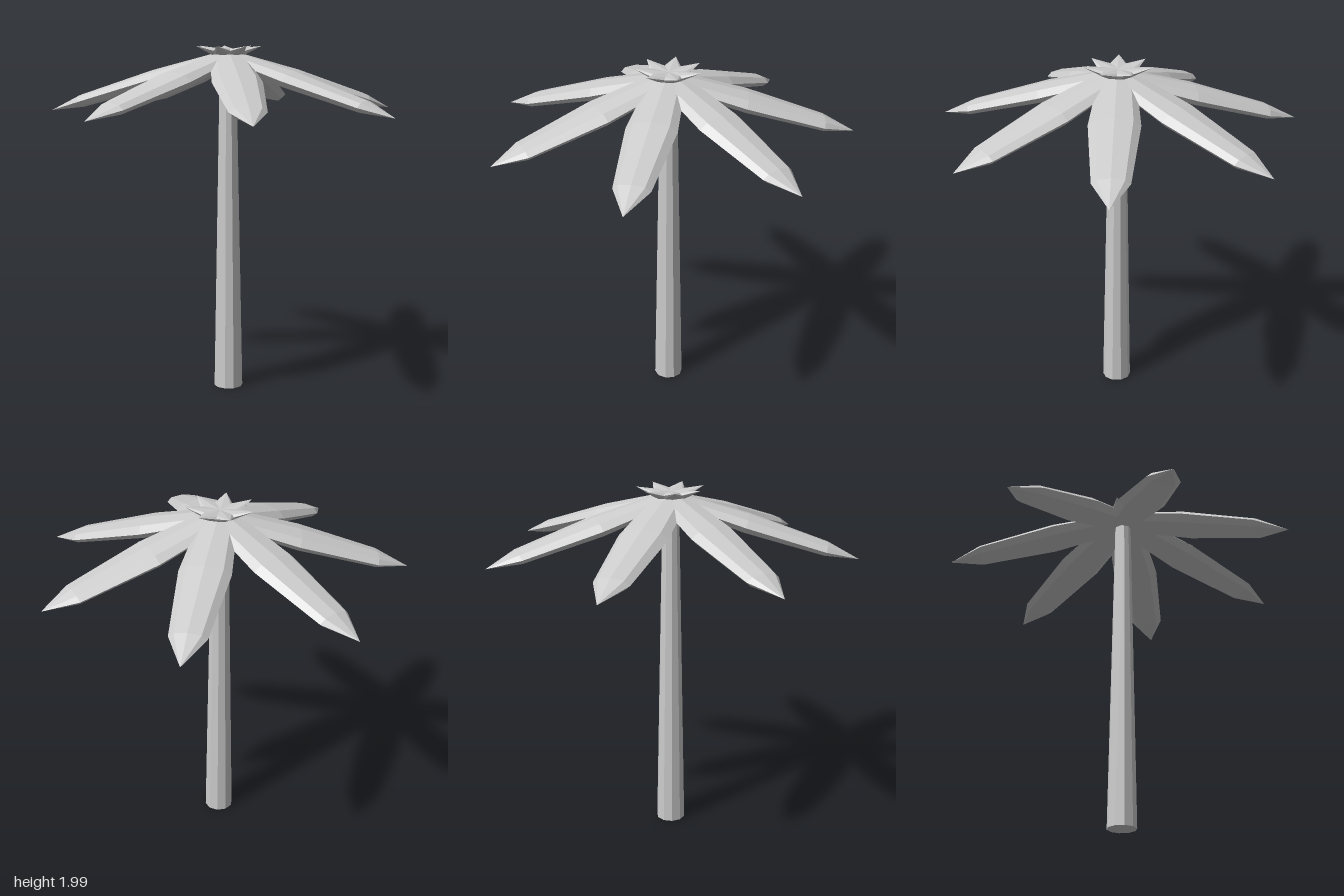
import * as THREE from 'three';

const FRONDS = 7;
const CENTRE_X = -0.052;

export function createModel() {
  const model = new THREE.Group();
  model.name = 'palmTree';
  const material = new THREE.MeshStandardMaterial({ color: 0xcccccc, flatShading: true });

  // Tapered ten-sided trunk
  const trunkHeight = 1.94;
  const trunkGeometry = new THREE.CylinderGeometry(0.046, 0.083, trunkHeight, 10);
  trunkGeometry.rotateY(Math.PI / 2);
  const trunk = new THREE.Mesh(trunkGeometry, material);
  trunk.name = 'trunk';
  trunk.position.set(CENTRE_X, trunkHeight / 2, 0);
  model.add(trunk);

  // Frond: flattened low-poly ellipsoid, drooping outwards; its inner end
  // crosses the trunk axis and forms one point of the star on top
  const frondGeometry = new THREE.SphereGeometry(1, 8, 4);
  frondGeometry.scale(0.05, 0.635, 0.137);
  frondGeometry.rotateZ(-Math.PI / 2 - 0.294);
  frondGeometry.translate(0.4175, 1.806, 0);

  const crown = new THREE.Group();
  crown.name = 'crown';
  crown.position.x = CENTRE_X;
  for (let i = 0; i < FRONDS; i++) {
    const frond = new THREE.Mesh(frondGeometry, material);
    frond.name = `frond${i + 1}`;
    frond.rotation.y = (i / FRONDS) * Math.PI * 2;
    crown.add(frond);
  }
  model.add(crown);

  return model;
}
